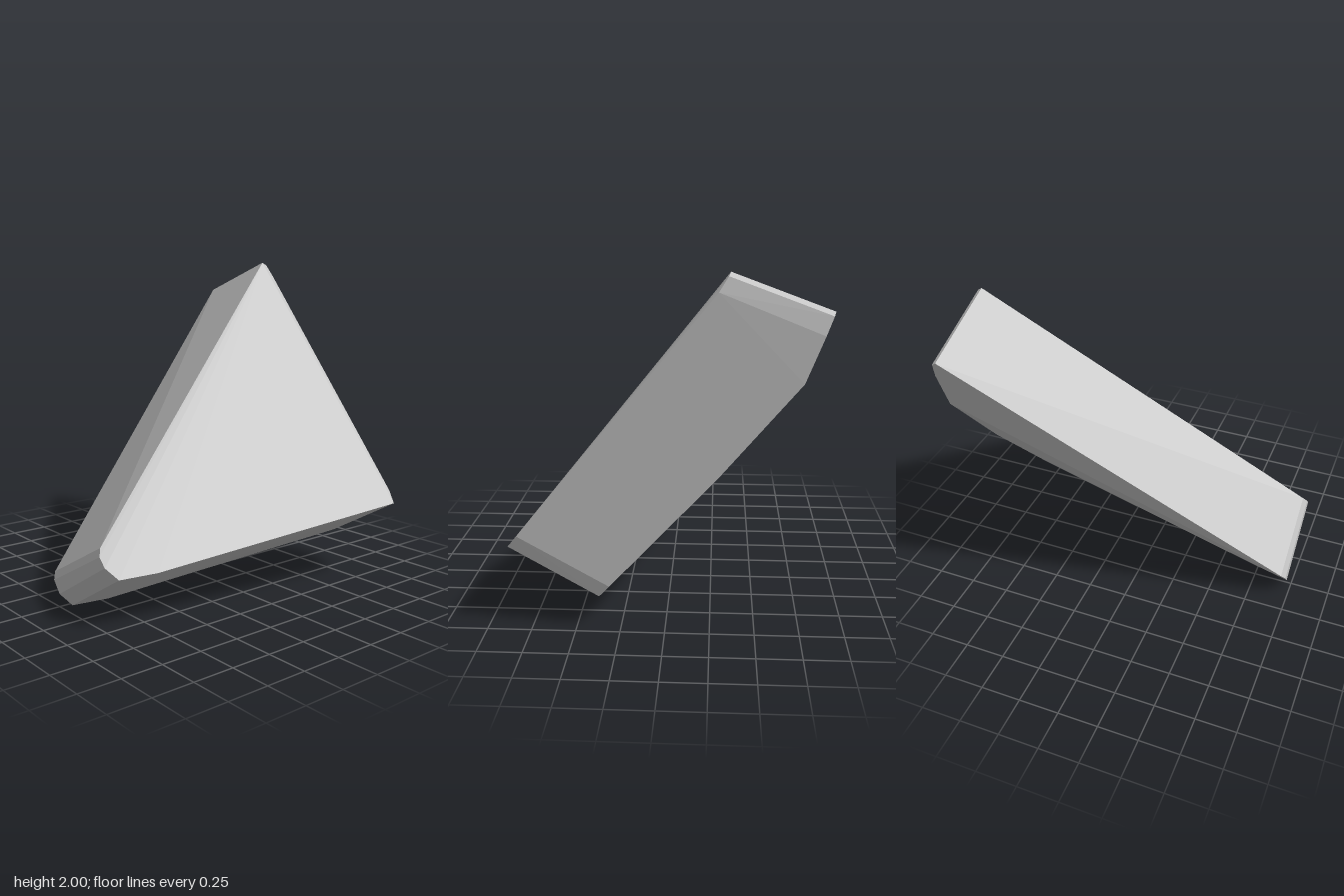
import * as THREE from 'three';
import { ConvexGeometry } from 'three/addons/geometries/ConvexGeometry.js';

export function createModel() {
  const group = new THREE.Group();
  group.name = 'wedge';
  const grey = new THREE.MeshStandardMaterial({ color: 0xc4c4c4 });
  grey.name = 'stone grey';

  // Outline of the upper triangular side, from the peak round the front tip to the back corner
  const upperSide = [
    [-0.34, 2.0, -0.92], [-0.33, 1.98, -0.95], [-0.28, 1.9, -0.97],
    [0.37, 0.44, 0.95], [0.4, 0.4, 0.975], [0.45, 0.35, 0.975],
    [0.52, 0.29, 0.93], [0.58, 0.3, 0.71],
    [0.875, 0.48, -0.95], [0.82, 0.55, -0.97],
  ];
  // Outline of the lower side, with a bulging back edge
  const lowerSide = [
    [-0.88, 1.8, -0.92], [-0.87, 1.78, -0.95], [-0.83, 1.68, -0.97],
    [-0.13, 0.17, 0.95], [-0.1, 0.13, 0.975], [-0.04, 0.06, 0.975],
    [0.03, 0, 0.93], [0.08, 0.005, 0.71],
    [0.37, 0.19, -0.95], [0.31, 0.26, -0.97],
    [-0.73, 1.43, -0.975], [-0.29, 0.91, -0.975],
  ];

  // Solid skin between the two sides
  const points = [...upperSide, ...lowerSide].map((p) => new THREE.Vector3(...p));
  const body = new THREE.Mesh(new ConvexGeometry(points), grey);
  body.name = 'wedgeBody';
  group.add(body);
  return group;
}
